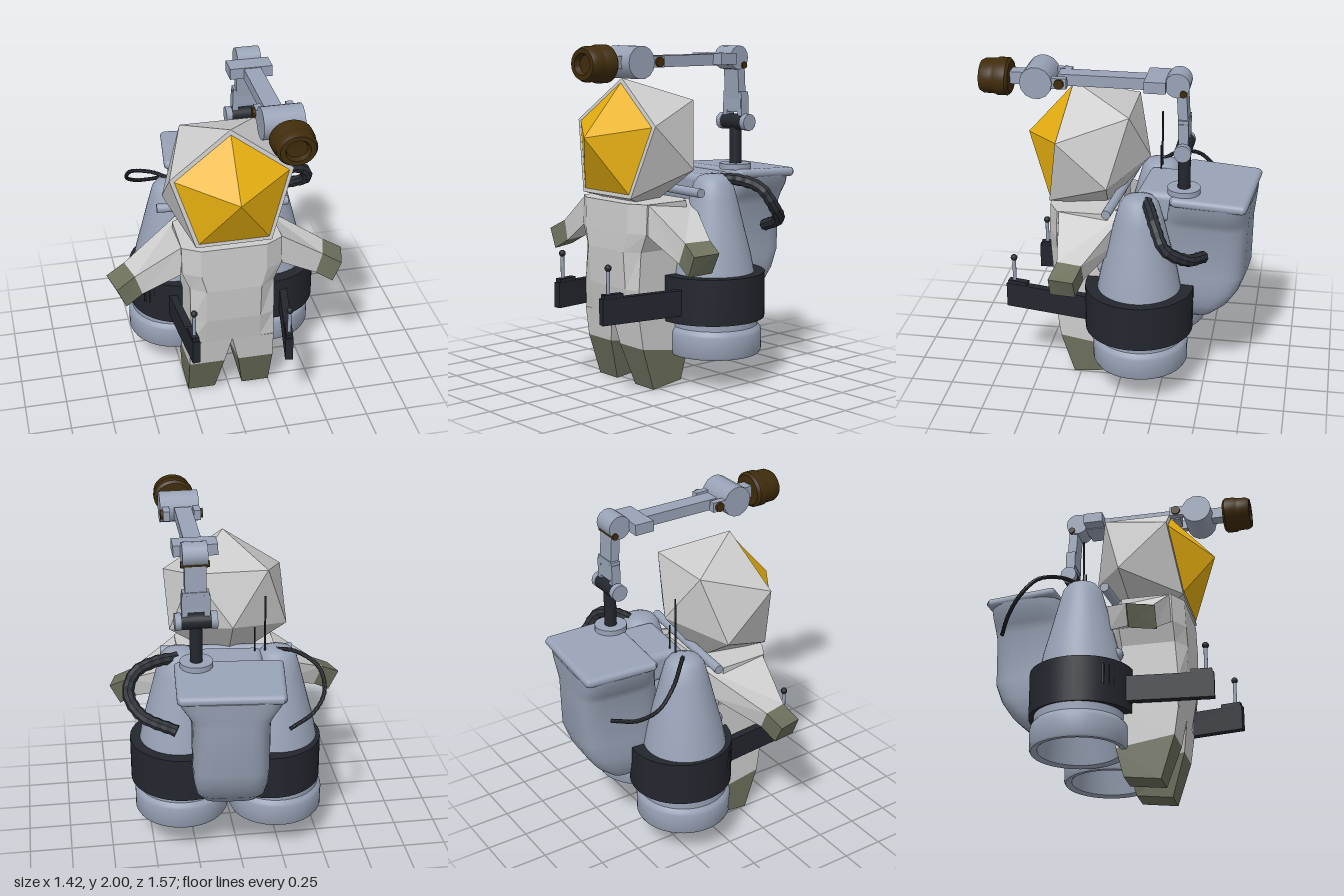
import * as THREE from 'three';
import { toCreasedNormals } from 'three/addons/utils/BufferGeometryUtils.js';
import { RoundedBoxGeometry } from 'three/addons/geometries/RoundedBoxGeometry.js';
import { ConvexGeometry } from 'three/addons/geometries/ConvexGeometry.js';

const V = (x, y, z) => new THREE.Vector3(x, y, z);
const mat = (color, flatShading = false) =>
  new THREE.MeshStandardMaterial({ color, flatShading, side: THREE.DoubleSide });

// Skin a stack of equal-length rings and close both ends
function loft(rings) {
  const n = rings[0].length, pos = [], idx = [];
  rings.forEach(r => r.forEach(p => pos.push(p.x, p.y, p.z)));
  for (let i = 0; i < rings.length - 1; i++) for (let j = 0; j < n; j++) {
    const a = i * n + j, b = i * n + (j + 1) % n;
    idx.push(a, a + n, b, b, a + n, b + n);
  }
  [0, rings.length - 1].forEach((k, end) => {
    const c = V(0, 0, 0);
    rings[k].forEach(p => c.addScaledVector(p, 1 / n));
    const ci = pos.length / 3;
    pos.push(c.x, c.y, c.z);
    for (let j = 0; j < n; j++) {
      const a = k * n + j, b = k * n + (j + 1) % n;
      idx.push(ci, end ? b : a, end ? a : b);
    }
  });
  const g = new THREE.BufferGeometry();
  g.setAttribute('position', new THREE.Float32BufferAttribute(pos, 3));
  g.setIndex(idx);
  g.computeVertexNormals();
  return g;
}

export function createModel() {
  const root = new THREE.Group();
  root.name = 'astronaut';
  const suit = mat(0xcccccc, true), olive = mat(0x6c705c, true), gold = mat(0xe8b010, true);
  const metal = mat(0x99a3b7), black = mat(0x23262e), brown = mat(0x402c0b);

  function add(parent, name, geo, material, x = 0, y = 0, z = 0) {
    const m = new THREE.Mesh(geo, material);
    m.name = name;
    m.position.set(x, y, z);
    parent.add(m);
    return m;
  }
  const box = (w, h, d) => new THREE.BoxGeometry(w, h, d);
  const cyl = (r, h, n = 24) => new THREE.CylinderGeometry(r, r, h, n);
  const cylX = (r, h, n = 24) => cyl(r, h, n).rotateZ(Math.PI / 2);
  const lathe = pts => toCreasedNormals(
    new THREE.LatheGeometry(pts.map(p => new THREE.Vector2(...p)), 40), 0.6);

  // Helmet: flattened icosahedron, front cap replaced by the visor
  const rim = [V(0, 1.8, 0.315), V(0.355, 1.545, 0.36), V(0.22, 1.13, 0.43),
    V(-0.22, 1.13, 0.43), V(-0.355, 1.545, 0.36)];
  const back = [V(0.22, 1.67, -0.04), V(-0.22, 1.67, -0.04), V(0.35, 1.28, 0.07),
    V(-0.35, 1.28, 0.07), V(0, 1.03, 0.12), V(0, 1.36, -0.135)];
  add(root, 'helmet', new ConvexGeometry([...rim, ...back]), suit);
  const mid = V(0, 1.43, 0.379);
  const inset = rim.map(p => p.clone().lerp(mid, 0.075).add(V(0, 0, 0.003)));
  add(root, 'visor', new ConvexGeometry([...inset, V(0, 1.47, 0.59)]), gold);

  // Torso: chamfered cross-sections [y, half width, back z, front z, chamfer]
  const torsoRing = ([y, w, zb, zf, d]) => [[w, zb + d], [w, zf - d], [w * 0.65, zf], [-w * 0.65, zf],
    [-w, zf - d], [-w, zb + d], [-w * 0.65, zb], [w * 0.65, zb]].map(([x, z]) => V(x, y, z));
  add(root, 'torso', loft([[0.43, 0.253, 0.06, 0.395, 0.005], [0.6, 0.25, 0.03, 0.425, 0.03],
    [0.82, 0.25, 0.01, 0.44, 0.06], [0.93, 0.295, 0, 0.437, 0.06], [1.1, 0.295, 0.02, 0.43, 0.06]].map(torsoRing)), suit);

  // Limbs are built on the +x side and mirrored
  const legRing = (xi, xo, zb, zf, yb, yf) =>
    [V(xo, yb, zb), V(xo, yf, zf), V(xi, yf, zf), V(xi, yb, zb)];
  const hip = legRing(0, 0.253, 0.06, 0.395, 0.43, 0.43);
  const ankle = legRing(0.042, 0.256, 0.035, 0.37, 0.2, 0.255);
  const sole = legRing(0.085, 0.252, 0.08, 0.29, 0.03, 0.005);
  const shoulder = [V(0.29, 1.1, 0.36), V(0.22, 1.1, -0.03), V(0.27, 0.92, 0), V(0.3, 0.92, 0.37)];
  const wrist = [V(0.56, 0.91, 0.32), V(0.6, 0.915, 0.17), V(0.55, 0.80, 0.17), V(0.52, 0.79, 0.33)];
  const fist = [V(0.67, 0.85, 0.35), V(0.71, 0.86, 0.2), V(0.65, 0.74, 0.2), V(0.62, 0.73, 0.35)];
  for (const s of [1, -1]) {
    const side = new THREE.Group();
    side.name = s > 0 ? 'leftLimbs' : 'rightLimbs';
    side.scale.x = s;
    root.add(side);
    add(side, 'leg', loft([ankle, hip]), suit);
    add(side, 'boot', loft([sole, ankle]), olive);
    add(side, 'arm', loft([shoulder, wrist]), suit);
    add(side, 'glove', loft([wrist, fist]), olive);
  }

  // Jet pack, turned slightly
  const pack = new THREE.Group();
  pack.name = 'jetPack';
  pack.position.set(0.035, 0, -0.15);
  pack.rotation.y = -0.09;
  root.add(pack);
  for (const x of [0.28, -0.288]) {
    add(pack, 'nozzle', lathe([[0.001, 0.42], [0.19, 0.4], [0.235, 0.2], [0.25, 0.19], [0.272, 0.19],
      [0.28, 0.205], [0.28, 0.32], [0.275, 0.335], [0.258, 0.355], [0.258, 0.41]]), metal, x);
    add(pack, 'tank', lathe([[0.245, 0.66], [0.222, 0.78], [0.185, 0.92], [0.14, 1.1], [0.115, 1.19],
      [0.09, 1.225], [0.05, 1.24], [0.001, 1.243]]), metal, x, 0, 0.01);
    add(pack, 'sideThruster', new THREE.SphereGeometry(0.04, 16, 12), metal, x, 0.76, 0.22);
  }
  // Bands sit a little off the tank axes
  add(pack, 'leftTankBand', cyl(0.318, 0.27, 40), black, 0.264, 0.535, 0.012);
  add(pack, 'rightTankBand', cyl(0.304, 0.27, 40), black, -0.25, 0.535, 0.002);
  for (let i = 0; i < 3; i++)
    add(pack, 'bandSlot', box(0.014, 0.12, 0.02), black, -0.475 + i * 0.03, 0.57, 0.2 + i * 0.022);
  add(pack, 'shoulderBar', cylX(0.027, 0.78, 16), metal, 0, 1.15, 0.18);
  add(pack, 'bridge', new RoundedBoxGeometry(0.4, 0.18, 0.27, 3, 0.04), metal, 0, 1.14, -0.08);

  // Main canister: rounded cross-sections [y, half width, back z, front z]
  const canRing = ([y, w, zb, zf]) => Array.from({ length: 32 }, (_, i) => {
    const a = i / 32 * Math.PI * 2, q = t => Math.sign(t) * Math.abs(t) ** 0.45;
    return V(w * q(Math.cos(a)), y, (zf + zb) / 2 + (zf - zb) / 2 * q(Math.sin(a)));
  });
  add(pack, 'canister', toCreasedNormals(loft([[0.41, 0.1, -0.33, -0.2], [0.45, 0.16, -0.4, -0.14],
    [0.53, 0.2, -0.49, -0.11], [0.62, 0.215, -0.55, -0.1], [0.73, 0.22, -0.59, -0.1], [1.03, 0.222, -0.595, -0.1],
    [1.08, 0.245, -0.6, -0.11], [1.14, 0.285, -0.605, -0.13], [1.2, 0.3, -0.61, -0.14]].map(canRing)), 0.7), metal);
  // Lid narrows toward the back
  const lidGeo = new RoundedBoxGeometry(0.64, 0.055, 0.47, 5, 0.026);
  const lp = lidGeo.attributes.position;
  for (let i = 0; i < lp.count; i++) {
    const x = lp.getX(i), z = lp.getZ(i);
    const cx = Math.max(0, Math.abs(x) - 0.24) / 0.08, cz = Math.max(0, Math.abs(z) - 0.155) / 0.08;
    const k = Math.max(cx, cz) / Math.max(Math.hypot(cx, cz), 1e-6);
    const nx = cx > 0 ? Math.sign(x) * (0.24 + cx * k * 0.08) : x;
    const nz = cz > 0 ? Math.sign(z) * (0.155 + cz * k * 0.08) : z;
    lp.setXYZ(i, nx * (1 + 0.1 * nz), lp.getY(i), nz);
  }
  add(pack, 'lid', lidGeo, metal, 0, 1.22, -0.385).rotation.x = -0.03;

  // Control arms, each with a lever: [base x, base z, end x, end z]
  for (const [bx, bz, ex, ez] of [[0.37, 0.15, 0.31, 0.81], [-0.34, 0.15, -0.225, 0.775]]) {
    const arm = new THREE.Group();
    arm.name = 'controlArm';
    arm.position.set(ex, 0, ez);
    arm.rotation.y = Math.atan2(ex - bx, ez - bz);
    pack.add(arm);
    const len = Math.hypot(ex - bx, ez - bz);
    add(arm, 'armBeam', box(0.045, 0.15, len), black, 0, 0.525, -len / 2);
    add(arm, 'leverBase', box(0.04, 0.025, 0.12), black, 0, 0.61, -0.07);
    add(arm, 'lever', cyl(0.011, 0.16, 10), metal, 0, 0.69, -0.045);
    add(arm, 'leverKnob', new THREE.SphereGeometry(0.02, 12, 10), black, 0, 0.77, -0.045);
  }

  // Antennas
  add(root, 'tallAntenna', cyl(0.006, 0.36, 6), black, -0.18, 1.39, -0.18);
  add(root, 'shortAntenna', cyl(0.005, 0.2, 6), black, -0.12, 1.28, -0.18);

  // Hoses: smooth path with a ribbed radius
  function hose(name, pts, r, seg) {
    const path = new THREE.CatmullRomCurve3(pts), g = new THREE.TubeGeometry(path, seg, r, 8);
    const p = g.attributes.position, v = V(0, 0, 0);
    for (let i = 0; i < p.count; i++) {
      const ring = Math.floor(i / 9), c = path.getPointAt(ring / seg);
      v.fromBufferAttribute(p, i).sub(c).multiplyScalar(ring % 2 ? 0.93 : 1.06).add(c);
      p.setXYZ(i, v.x, v.y, v.z);
    }
    add(root, name, g, mat(0x2b2f36, true));
  }
  hose('thinHose', [V(-0.21, 1.22, -0.145), V(-0.34, 1.25, -0.25), V(-0.46, 1.2, -0.38),
    V(-0.475, 1.1, -0.48), V(-0.4, 1.02, -0.57), V(-0.25, 0.97, -0.655)], 0.012, 48);
  hose('thickHose', [V(0.33, 1.21, -0.16), V(0.46, 1.21, -0.2), V(0.58, 1.17, -0.245),
    V(0.625, 1.07, -0.3), V(0.56, 0.98, -0.41), V(0.37, 0.91, -0.49)], 0.035, 26);

  // Lamp boom on a jointed mast
  const boom = new THREE.Group();
  boom.name = 'lampBoom';
  boom.position.x = 0.24;
  root.add(boom);
  add(boom, 'mastCollar', cyl(0.095, 0.035), metal, 0, 1.265, -0.36);
  add(boom, 'mast', cyl(0.036, 0.28), black, 0, 1.39, -0.36);
  add(boom, 'mastPivot', cylX(0.047, 0.17), black, 0, 1.53, -0.36);
  for (const s of [1, -1]) {
    add(boom, 'pivotCap', cylX(0.05, 0.035, 12), metal, s * 0.102, 1.53, -0.36);
    add(boom, 'forkPlate', box(0.035, 0.2, 0.055), metal, s * 0.062, 1.59, -0.36);
    add(boom, 'lampBolt', cylX(0.028, 0.03, 16), brown, s * 0.11, 1.9, 0.33);
    add(boom, 'lampFork', box(0.04, 0.06, 0.14), metal, s * 0.09, 1.9, 0.36);
  }
  add(boom, 'upperArm', box(0.12, 0.3, 0.055), metal, 0, 1.74, -0.352).rotation.x = 0.06;
  add(boom, 'upperArmHead', box(0.15, 0.1, 0.058), metal, 0, 1.66, -0.358);
  add(boom, 'elbow', cylX(0.07, 0.14, 16), metal, 0, 1.91, -0.32);
  add(boom, 'elbowBolt', cylX(0.02, 0.16, 12), brown, 0, 1.865, -0.355);
  add(boom, 'elbowBracket', box(0.25, 0.065, 0.12), metal, -0.015, 1.905, -0.2);
  add(boom, 'boomBeam', box(0.1, 0.065, 0.64), metal, -0.01, 1.9, 0.03);
  add(boom, 'lampJoint', cylX(0.092, 0.23, 14), metal, 0.005, 1.9, 0.46);
  add(boom, 'lampNeck', box(0.08, 0.07, 0.14), metal, 0.01, 1.9, 0.57);
  const lamp = add(boom, 'lamp', lathe([[0.001, 0], [0.09, 0], [0.105, 0.015], [0.105, 0.07], [0.099, 0.082],
    [0.097, 0.1], [0.097, 0.145], [0.085, 0.168], [0.06, 0.168], [0.05, 0.14], [0.001, 0.135]]),
    brown, 0.013, 1.895, 0.62);
  lamp.rotation.x = Math.PI / 2;
  lamp.scale.x = 1.15;
  return root;
}
